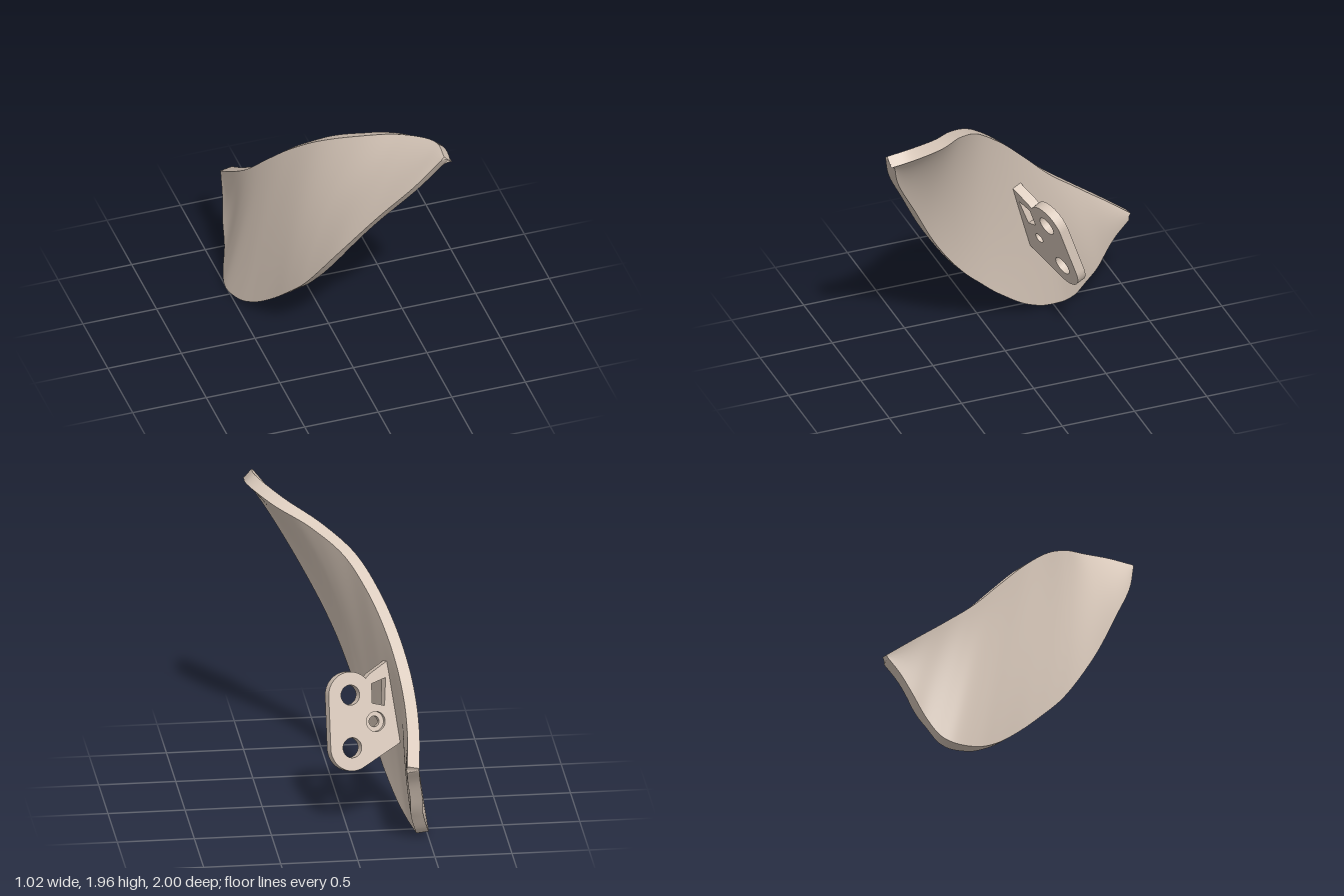
import * as THREE from 'three';
import { toCreasedNormals } from 'three/addons/utils/BufferGeometryUtils.js';

const V = (x, y, z) => new THREE.Vector3(x, y, z);
const curve = (pts) => new THREE.CatmullRomCurve3(pts.map((p) => V(...p)), false, 'centripetal');

// Outer edges of the blade, both running from the front tip to the back corner
const upper = curve([
  [0.45, 1.95, 0.995], [0.445, 1.965, 0.85], [0.29, 1.895, 0.61], [0.06, 1.785, 0.4], [-0.13, 1.65, 0.2],
  [-0.255, 1.475, 0], [-0.35, 1.27, -0.2], [-0.41, 1.065, -0.4], [-0.43, 0.905, -0.6],
  [-0.425, 0.76, -0.8], [-0.4, 0.62, -0.995],
]);
const lower = curve([
  [0.43, 1.93, 1], [0.27, 1.69, 0.915], [0.09, 1.39, 0.757], [-0.12, 0.97, 0.53], [-0.255, 0.58, 0.27],
  [-0.315, 0.4, 0.1], [-0.365, 0.24, -0.07], [-0.425, 0.1, -0.25], [-0.475, 0.03, -0.4],
  [-0.51, 0.015, -0.57], [-0.495, 0.06, -0.66], [-0.455, 0.2, -0.75], [-0.44, 0.35, -0.83],
  [-0.415, 0.5, -0.91], [-0.4, 0.6, -0.985],
]);

// Straight span between the edges, bowed outwards at the tip and inwards at the back
const span = (t, s) => lower.getPoint(t).lerp(upper.getPoint(t), s);
function outerPoint(t, s) {
  const c = THREE.MathUtils.clamp(t, 0.06, 0.97);
  const across = upper.getPoint(c).sub(lower.getPoint(c));
  const normal = span(c + 0.01, s).sub(span(c - 0.01, s)).cross(across).normalize();
  const width = upper.getPoint(t).distanceTo(lower.getPoint(t));
  return span(t, s).addScaledVector(normal, -0.075 * (1 - 1.7 * t) * width * 4 * s * (1 - s));
}
function innerNormal(t, s) {
  const c = THREE.MathUtils.clamp(t, 0.07, 0.95);
  const d = THREE.MathUtils.clamp(s, 0.02, 0.98);
  const along = outerPoint(c + 0.01, d).sub(outerPoint(c - 0.01, d));
  const across = outerPoint(c, d + 0.02).sub(outerPoint(c, d - 0.02));
  return along.cross(across).normalize();
}

function bladeGeometry(thickness) {
  const N = 80, M = 20, count = (N + 1) * (M + 1);
  const outer = [], inner = [], index = [];
  for (let i = 0; i <= N; i++) {
    for (let j = 0; j <= M; j++) {
      const p = outerPoint(i / N, j / M);
      outer.push(...p.toArray());
      inner.push(...p.addScaledVector(innerNormal(i / N, j / M), thickness).toArray());
    }
  }
  const id = (i, j) => i * (M + 1) + j;
  for (let i = 0; i < N; i++) {
    for (let j = 0; j < M; j++) {
      const a = id(i, j), b = id(i + 1, j), c = id(i + 1, j + 1), d = id(i, j + 1);
      index.push(a + count, b + count, c + count, a + count, c + count, d + count);
      index.push(a, c, b, a, d, c);
    }
  }
  // rim joining both faces
  const loop = [];
  for (let i = 0; i < N; i++) loop.push(id(i, 0));
  for (let j = 0; j < M; j++) loop.push(id(N, j));
  for (let i = N; i > 0; i--) loop.push(id(i, M));
  for (let j = M; j > 0; j--) loop.push(id(0, j));
  loop.forEach((a, k) => {
    const b = loop[(k + 1) % loop.length];
    index.push(b + count, a + count, a, b + count, a, b);
  });
  const geo = new THREE.BufferGeometry();
  geo.setAttribute('position', new THREE.Float32BufferAttribute([...outer, ...inner], 3));
  geo.setIndex(index);
  return toCreasedNormals(geo, 0.6);
}

// One layer of the bracket: pill with a tab, two bolt holes, a window and a small bore
function bracketLayer(depth, boreRadius) {
  const shape = new THREE.Shape();
  shape.moveTo(0.15, -0.17);
  shape.lineTo(0.15, 0.17);
  shape.absarc(0, 0.17, 0.15, 0, 2.4, false);
  shape.lineTo(-0.14, 0.3);
  shape.lineTo(-0.27, 0.38);
  shape.lineTo(-0.37, -0.135);
  shape.absarc(0, -0.17, 0.15, 4.2, Math.PI * 2, false);
  for (const [u, v, r] of [[0, 0.17, 0.065], [0, -0.17, 0.065], [-0.17, -0.01, boreRadius]]) {
    shape.holes.push(new THREE.Path().absarc(u, v, r, 0, Math.PI * 2, true));
  }
  const window = [[-0.25, 0.27], [-0.15, 0.235], [-0.15, 0.11], [-0.235, 0.09]];
  shape.holes.push(new THREE.Path(window.map((p) => new THREE.Vector2(...p))));
  const geo = new THREE.ExtrudeGeometry(shape, { depth, bevelEnabled: false, curveSegments: 32 });
  return toCreasedNormals(geo, 0.5);
}

export function createModel() {
  const model = new THREE.Group();
  const material = new THREE.MeshStandardMaterial({ color: 0xd8c8ba });
  const add = (parent, name, geometry) => {
    const mesh = new THREE.Mesh(geometry, material);
    mesh.name = name;
    parent.add(mesh);
    return mesh;
  };

  add(model, 'curvedBlade', bladeGeometry(0.08));

  // Tilted mounting bracket on the inner side, counterbored from the back
  const bracket = new THREE.Group();
  bracket.name = 'mountingBracket';
  add(bracket, 'bracketBackLayer', bracketLayer(0.03, 0.065));
  add(bracket, 'bracketFrontLayer', bracketLayer(0.035, 0.035)).position.z = 0.03;
  const normal = V(0.3, -0.34, 1).normalize();
  const up = V(0, 1, 0.34).normalize();
  const side = up.clone().cross(normal);
  bracket.quaternion.setFromRotationMatrix(new THREE.Matrix4().makeBasis(side, up, normal));
  bracket.position.set(-0.03, 0.73, -0.405);
  model.add(bracket);

  return model;
}
